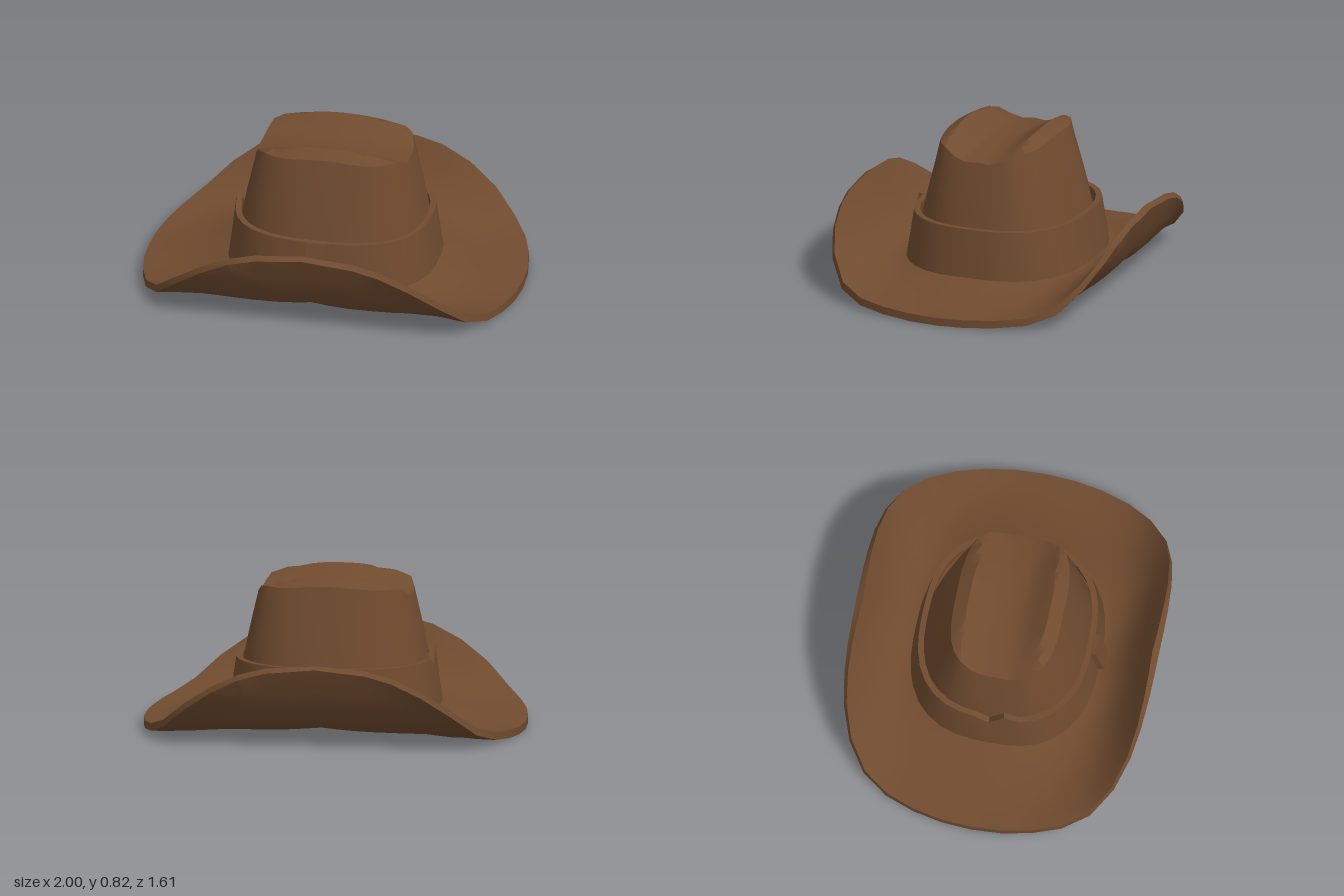
import * as THREE from 'three';
import { toCreasedNormals } from 'three/addons/utils/BufferGeometryUtils.js';

const SEG = 40;
const lerp = THREE.MathUtils.lerp;

// Point on a rounded-rectangle (superellipse) outline at a polar angle
function outline(a, rx, rz, n) {
  const c = Math.cos(a), s = Math.sin(a);
  const r = (Math.abs(c / rx) ** n + Math.abs(s / rz) ** n) ** (-1 / n);
  return [r * c, r * s];
}

// Piecewise-linear curve through [position, value] pairs
function curve(points, v) {
  for (let i = 1; i < points.length; i++) {
    const [a, ya] = points[i - 1], [b, yb] = points[i];
    if (v <= b) return lerp(ya, yb, (v - a) / (b - a));
  }
  return points[points.length - 1][1];
}

// Skin a stack of closed rings; point(ring, angle) returns [x, y, z]
function loft(rings, point, crease) {
  const pos = [], index = [];
  for (let i = 0; i < rings; i++) {
    for (let j = 0; j < SEG; j++) {
      pos.push(...point(i, (j / SEG) * Math.PI * 2));
      if (i === rings - 1) continue;
      const k = (j + 1) % SEG;
      const a = i * SEG + j, b = a + SEG, c = (i + 1) * SEG + k, d = i * SEG + k;
      index.push(a, b, c, a, c, d);
    }
  }
  const g = new THREE.BufferGeometry();
  g.setAttribute('position', new THREE.Float32BufferAttribute(pos, 3));
  g.setIndex(index);
  return toCreasedNormals(g, crease);
}

// Outline shared by the crown's foot and the brim's opening
const foot = (a) => outline(a, 0.52, 0.467, 2.5);

// Height of the brim's rim along its length: high at the sides, low at the ends
const RIM = [[0, 0.46], [0.3, 0.44], [0.45, 0.39], [0.65, 0.28], [0.8, 0.14], [0.88, 0.085], [1, 0.05]];

function brimPoint(t, a, under) {
  const end = Math.abs(Math.cos(a));
  const [ix, iz] = foot(a);
  // Squarish corners, rounder ends
  const [ox, oz] = outline(a, 1, 0.805, lerp(3.2, 2.3, end ** 6));
  const rim = curve(RIM, Math.abs(ox));
  // The underside stays flat longer, then turns up more sharply
  let y = lerp(0.14, rim, t ** lerp(under ? 3.4 : 2.2, 1.1, end * end));
  // Slight sag, strongest towards the four corners
  y -= (0.02 * end + 0.025 * Math.abs(Math.sin(2 * a))) * Math.sin(Math.PI * t);
  if (under) y -= lerp(0.06, lerp(0.015, 0.042, end), t);
  // The raised rim is thick sideways
  const inset = under ? 0 : 0.035 * t * (1 - end);
  const x = lerp(ix, ox, t), z = lerp(iz, oz, t);
  return [x, Math.max(y, 0), z - Math.sign(z) * inset];
}

// Crown top: a lengthwise crease between two ridges that fall towards the ends
const CREASE = [[0, 0.742], [0.08, 0.747], [0.14, 0.78], [0.21, 0.828], [0.29, 0.785]];
const crownTop = (x, z) =>
  curve(CREASE, Math.abs(z)) - (0.02 + 0.15 * Math.abs(z)) * (x / 0.38) ** 2;

function crownPoint(i, a) {
  const SIDE = 6, TOP = 8, SHIFT = 0.012;
  const [sx, sz] = outline(a, 0.4, 0.285, 3.4);
  if (i <= SIDE) {
    const t = i / SIDE;
    const [fx, fz] = foot(a);
    const bulge = 1 + 0.03 * Math.sin(Math.PI * t);
    return [lerp(fx, sx, t) * bulge, lerp(0.08, crownTop(sx, sz), t), lerp(fz, sz, t) * bulge + SHIFT * t];
  }
  const s = 1 - (i - SIDE) / TOP + 1e-4;
  return [sx * s, crownTop(sx * s, sz * s), sz * s + SHIFT];
}

// Band section from outer bottom, over the top edge, to inner bottom: [rx, rz, y]
const BAND = [[0.555, 0.498, 0.1], [0.535, 0.475, 0.25], [0.515, 0.455, 0.385], [0.485, 0.425, 0.385], [0.49, 0.43, 0.32]];

function bandPoint(i, a) {
  const [rx, rz, h] = BAND[i];
  const [x, z] = outline(a, rx, rz, 2.6);
  let y = h;
  // Raised tip and notch where the ends of the band meet
  if (i === 2 || i === 3) {
    const d = a - Math.PI;
    if (d > -0.2 && d < -0.1) y += 0.055;
    else if (d > -0.1 && d < 0.1) y -= 0.05;
  }
  return [x, y, z];
}

export function createModel() {
  const hat = new THREE.Group();
  hat.name = 'hat';
  const felt = new THREE.MeshStandardMaterial({ color: 0x704b2f, side: THREE.DoubleSide });
  felt.name = 'brown felt';

  const add = (name, geometry) => {
    const mesh = new THREE.Mesh(geometry, felt);
    mesh.name = name;
    hat.add(mesh);
    return mesh;
  };

  // Brim: underside outward, then the upper side back inward
  const N = 8;
  add('brim', loft(2 * N + 2, (i, a) => (i <= N
    ? brimPoint(i / N, a, true)
    : brimPoint((2 * N + 1 - i) / N, a, false)), 0.9));

  // Open crown with creased top
  add('crown', loft(15, crownPoint, 0.7));

  // Hat band and its front loop
  add('band', loft(BAND.length, bandPoint, 0.7));
  const loop = add('bandLoop', new THREE.BoxGeometry(0.11, 0.21, 0.04));
  loop.position.set(0, 0.285, 0.482);
  loop.rotation.x = -0.22;

  return hat;
}
